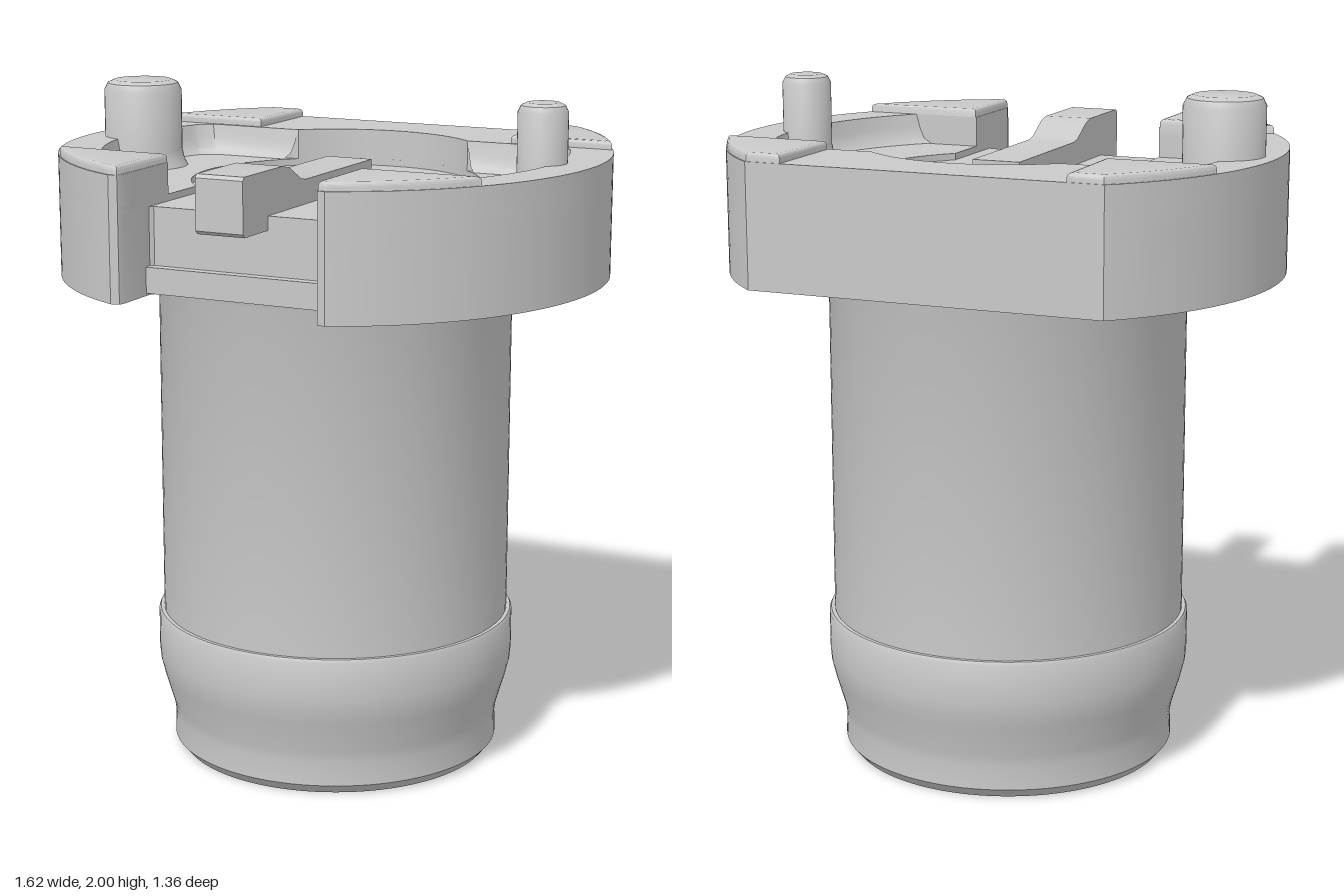
import * as THREE from 'three';
import { toCreasedNormals } from 'three/addons/utils/BufferGeometryUtils.js';

const CZ = -0.064; // z of the barrel axis
const R = 0.81;    // flange radius
const FLOOR = 1.74, RIM = 1.83; // recess floor and rim heights
const discR = 0.425, recessR = 0.685;

// points [x, z] on a circle around the barrel axis
const arc = (r, a0, a1, n = 40) => Array.from({ length: n + 1 }, (_, i) => {
  const a = a0 + (a1 - a0) * i / n;
  return [r * Math.cos(a), CZ + r * Math.sin(a)];
});
const mirror = pts => pts.map(([x, z]) => [-x, z]).reverse();
const sym = half => [...half, ...mirror(half)];
// angle at which a circle reaches a given z on the +x side
const angleAt = (r, z) => Math.asin((z - CZ) / r);

// edge of the left recess, front to back, moved inwards by d
const recessEdge = d => [
  ...arc(recessR - d, angleAt(recessR - d, 0.4), angleAt(recessR - d, -0.35 + d), 32),
  [0.585 - d, -0.38 + d],
  ...arc(discR, angleAt(discR, -0.38 + d), angleAt(discR, -0.38 + d), 1).slice(1),
];

// upward-facing surface between rows of points [x, y, z]
function loft(rows) {
  const n = rows[0].length, index = [];
  for (let j = 0; j < rows.length - 1; j++) {
    for (let i = 0; i < n - 1; i++) {
      const a = j * n + i, b = a + n;
      index.push(a, a + 1, b, a + 1, b + 1, b);
    }
  }
  const geo = new THREE.BufferGeometry();
  geo.setAttribute('position', new THREE.Float32BufferAttribute(rows.flat(2), 3));
  geo.setIndex(index);
  return geo;
}

export function createModel() {
  const grey = new THREE.MeshStandardMaterial({ color: 0xc9c9c9 });
  grey.name = 'light grey plastic';
  const group = new THREE.Group();
  group.name = 'bayonetCap';

  const add = (name, geometry) => {
    const mesh = new THREE.Mesh(toCreasedNormals(geometry, 0.6), grey);
    mesh.name = name;
    group.add(mesh);
  };
  // horizontal slab from an [x, z] outline, optionally with a rounded edge
  const slab = (name, pts, y0, y1, bevel = 0) => {
    const shape = new THREE.Shape(pts.map(([x, z]) => new THREE.Vector2(x, -z)));
    const geo = new THREE.ExtrudeGeometry(shape, {
      depth: y1 - y0 - 2 * bevel, bevelEnabled: bevel > 0,
      bevelSize: bevel, bevelOffset: -bevel, bevelThickness: bevel, bevelSegments: 3,
    });
    add(name, geo.rotateX(-Math.PI / 2).translate(0, y0 + bevel, 0));
  };
  const lathe = (name, pts, x = 0, n = 64) => {
    const geo = new THREE.LatheGeometry(pts.map(p => new THREE.Vector2(...p)), n);
    add(name, geo.translate(x, 0, CZ));
  };

  // hollow barrel with a swollen collar at the foot
  lathe('barrel', [
    [0, 1.6], [0.375, 1.6], [0.375, 0.03], [0.4, 0], [0.47, 0], [0.495, 0.03],
    [0.493, 0.1], [0.498, 0.135], [0.526, 0.23], [0.537, 0.275], [0.54, 0.31],
    [0.54, 0.425], [0.535, 0.435], [0.524, 0.435], [0.524, 1.45], [0.534, 1.475],
  ], 0, 96);
  lathe('centrePin', [[0, 0.12], [0.022, 0.126], [0.042, 0.155], [0.065, 0.215], [0.065, 1.61]], 0, 24);

  // flange outline: round, cut flat at the back, open slot at the front
  const outer = sym([[0.3, 0.65], [0.305, 0.67], ...arc(R, Math.acos(0.33 / R), angleAt(R, -0.68), 56)]);
  const ring = (name, innerHalf, y0, y1) =>
    slab(name, [...outer, ...sym(innerHalf).reverse()], y0, y1);

  // floor of the disc and front channel
  ring('flangeBase', [[0.3, 0.51], [0.29, 0.5]], 1.47, 1.72);

  // floor of the side recesses, cut by the disc and channel
  ring('recessFloor', [
    [0.3, 0.6], ...arc(discR, Math.acos(0.3 / discR), -Math.PI / 2, 40).slice(0, -1),
  ], 1.72, FLOOR);

  // raised rim around the recesses
  ring('rim', [
    [0.3, 0.6], [0.3, 0.4], ...recessEdge(0).slice(0, -1),
    ...arc(discR, angleAt(discR, -0.38), -Math.PI / 2, 24).slice(0, -1),
  ], FLOOR, RIM);

  // ledge across the front slot
  const ledge = new THREE.BoxGeometry(0.6, 0.075, 0.05);
  add('frontLedge', ledge.translate(0, 1.515, 0.507));

  // four raised pads and the sloped recess walls
  const padR = R - 0.004;
  const frontPad = [[0.302, 0.4], [0.302, 0.65], [0.307, 0.667],
    ...arc(padR, Math.acos(0.333 / padR), angleAt(padR, 0.4), 14)];
  const backPad = [[0.42, -0.39], ...arc(padR, angleAt(padR, -0.39), angleAt(padR, -0.677), 14), [0.42, -0.677]];
  const wall = [[0, RIM], [0.008, 1.79], [0.018, 1.757], [0.035, FLOOR + 0.001]];
  for (const [side, flip] of [['left', p => p], ['right', mirror]]) {
    slab(side + 'FrontPad', flip(frontPad), FLOOR, 1.855, 0.012);
    slab(side + 'BackPad', flip(backPad), 1.79, 1.855, 0.012);
    add(side + 'RecessWall', loft(wall.map(([d, y]) =>
      flip(recessEdge(d)).map(([x, z]) => [x, y, z]))));
  }

  // locating pegs with chamfered tops
  const peg = (name, x, r, c) => lathe(name, [
    [r + 0.016, FLOOR], [r + 0.005, FLOOR + 0.025], [r, FLOOR + 0.05],
    [r, 2 - c], [r - c * 0.35, 2 - c * 0.3], [r - c, 2], [0, 2],
  ], x, 36);
  peg('largePeg', -0.652, 0.117, 0.03);
  peg('smallPeg', 0.648, 0.072, 0.026);

  // stepped latch bar, side profile as [z, y]
  const profile = [
    [-0.16, 1.71], [-0.16, 1.79], [0.27, 1.79], [0.3, 1.796], [0.37, 1.835], [0.41, 1.845],
    [0.635, 1.845], [0.645, 1.835], [0.645, 1.69], [0.635, 1.68], [0.49, 1.68], [0.46, 1.71],
  ];
  const bar = new THREE.ExtrudeGeometry(
    new THREE.Shape(profile.map(([z, y]) => new THREE.Vector2(-z, y))),
    { depth: 0.146, bevelEnabled: false });
  add('latchBar', bar.rotateY(Math.PI / 2).translate(-0.075, 0, 0));

  return group;
}
